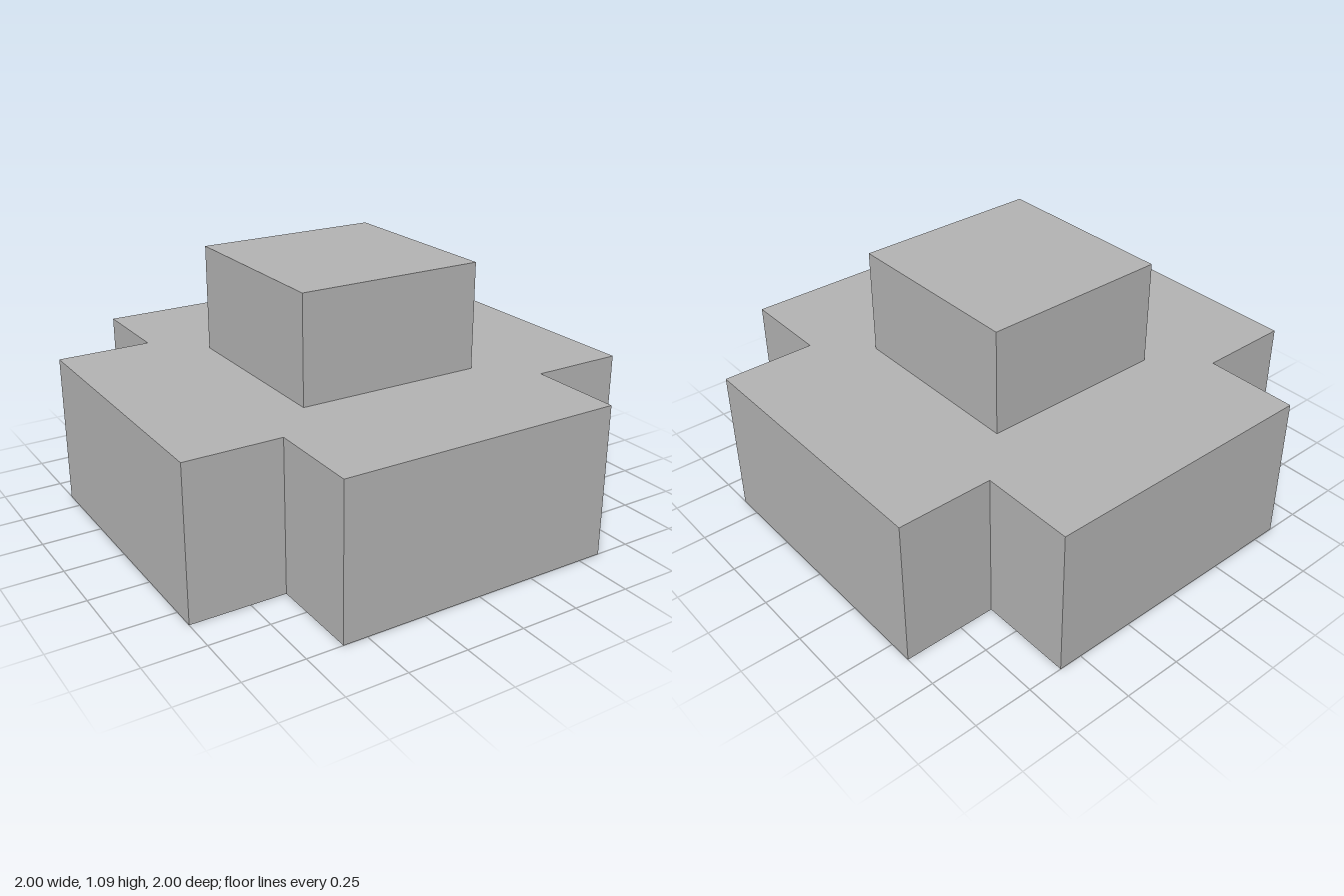
import * as THREE from 'three';
import { mergeGeometries } from 'three/addons/utils/BufferGeometryUtils.js';

const BASE_TOP = 0.64, TOP = 1.09, RECESS_TOP = 0.19;

// Repeat the points of one quarter around the centre, counter-clockwise from above
function quarterTurns(points) {
  const out = [];
  for (let k = 0; k < 4; k++) {
    for (const [x, y] of points) {
      out.push([[x, y], [-y, x], [-x, -y], [y, -x]][k]);
    }
  }
  return out.map(([x, y]) => new THREE.Vector2(x, y));
}

// Horizontal face at height y, facing up or down, with an optional opening
function cap(outline, y, up, opening) {
  const shape = new THREE.Shape(outline);
  if (opening) shape.holes.push(new THREE.Path(opening));
  const geometry = new THREE.ShapeGeometry(shape);
  geometry.rotateX(up ? -Math.PI / 2 : Math.PI / 2);
  geometry.translate(0, y, 0);
  return geometry.toNonIndexed();
}

// Upright faces along an outline; inward turns them towards the centre
function walls(outline, y0, y1, inward = false) {
  const loop = inward ? [...outline].reverse() : outline;
  const position = [], uv = [];
  loop.forEach((a, i) => {
    const b = loop[(i + 1) % loop.length];
    const corners = [[a, y0], [b, y0], [b, y1], [a, y1]];
    for (const c of [0, 1, 2, 0, 2, 3]) {
      const [p, y] = corners[c];
      position.push(p.x, y, -p.y);
      uv.push(0, 0);
    }
  });
  const geometry = new THREE.BufferGeometry();
  geometry.setAttribute('position', new THREE.Float32BufferAttribute(position, 3));
  geometry.setAttribute('uv', new THREE.Float32BufferAttribute(uv, 2));
  geometry.computeVertexNormals();
  return geometry;
}

export function createModel() {
  const group = new THREE.Group();
  group.name = 'steppedCrossBlock';
  const grey = new THREE.MeshStandardMaterial({ color: 0xb2b2b2 });
  grey.name = 'grey';

  const cross = quarterTurns([[1, -0.6], [1, 0.6], [0.6, 0.6]]);
  const block = quarterTurns([[0.4, 0.4]]);
  const recess = quarterTurns([[0.2, 0.2]]);

  const add = (name, parts) => {
    const mesh = new THREE.Mesh(mergeGeometries(parts), grey);
    mesh.name = name;
    group.add(mesh);
  };

  // Cross-shaped base, open where the block rises and where the recess enters
  add('crossBase', [
    cap(cross, 0, false, recess),
    walls(cross, 0, BASE_TOP),
    cap(cross, BASE_TOP, true, block),
  ]);

  // Square block on top
  add('topBlock', [walls(block, BASE_TOP, TOP), cap(block, TOP, true)]);

  // Square recess in the underside
  add('undersideRecess', [walls(recess, 0, RECESS_TOP, true), cap(recess, RECESS_TOP, false)]);

  return group;
}
